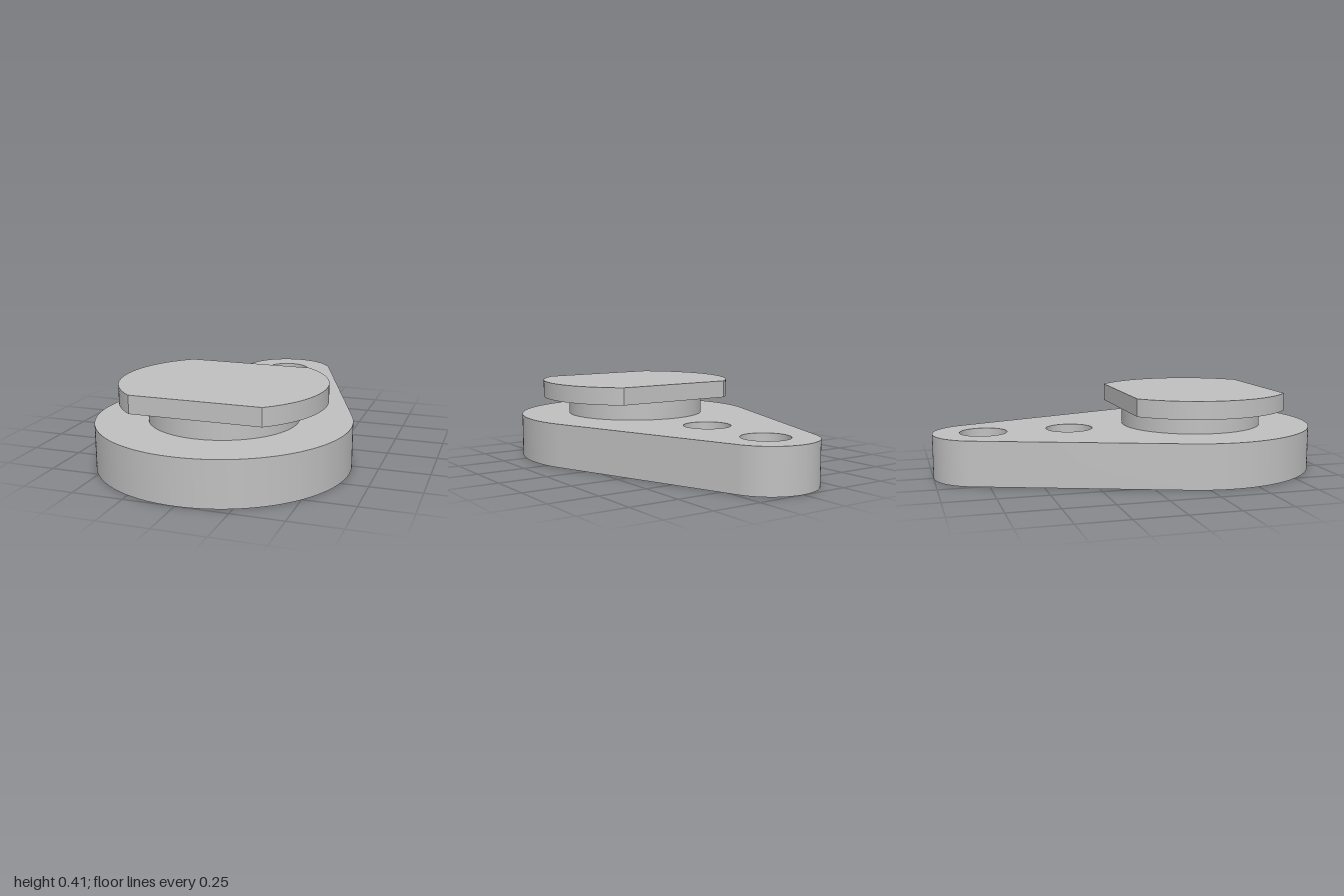
import * as THREE from 'three';
import { toCreasedNormals } from 'three/addons/utils/BufferGeometryUtils.js';

const BASE_H = 0.225, NECK_TOP = 0.32, HEAD_TOP = 0.41;
const BIG = { z: 0.37, r: 0.63 }, SMALL = { z: -0.75, r: 0.25 };
const HOLES = [-0.745, -0.3];
const BORE_R = 0.12, HOLE_R = 0.065, BORE_FLOOR = 0.1;

export function createModel() {
  const group = new THREE.Group();
  const grey = new THREE.MeshStandardMaterial({ color: 0xc0c0c0 });
  grey.name = 'grey';

  const add = (name, geometry, y = 0, z = 0) => {
    const mesh = new THREE.Mesh(toCreasedNormals(geometry, 0.5), grey);
    mesh.name = name;
    mesh.position.set(0, y, z);
    group.add(mesh);
  };
  // Extrude a plan shape (shape y = -z) upwards
  const plate = (shape, depth) =>
    new THREE.ExtrudeGeometry(shape, { depth, bevelEnabled: false, curveSegments: 64 }).rotateX(-Math.PI / 2);

  // Teardrop base: two arcs joined by their common tangents
  const a = Math.asin((BIG.r - SMALL.r) / (BIG.z - SMALL.z));
  const outline = new THREE.Shape();
  outline.absarc(0, -BIG.z, BIG.r, Math.PI - a, 2 * Math.PI + a, false);
  outline.absarc(0, -SMALL.z, SMALL.r, a, Math.PI - a, false);
  outline.closePath();
  for (const z of HOLES) {
    const bore = new THREE.Path();
    bore.absarc(0, -z, BORE_R, 0, Math.PI * 2, true);
    outline.holes.push(bore);
  }
  add('base', plate(outline, BASE_H));

  // Counterbore floors with the narrower through holes
  const washer = [[BORE_R, BORE_FLOOR], [HOLE_R, BORE_FLOOR], [HOLE_R, 0], [BORE_R, 0]]
    .map(([r, y]) => new THREE.Vector2(r, y));
  HOLES.forEach((z, i) => add('counterboreFloor' + (i + 1), new THREE.LatheGeometry(washer, 64), 0, z));

  // Round neck
  add('neck', new THREE.CylinderGeometry(0.37, 0.37, NECK_TOP - BASE_H, 96, 1, true),
    (BASE_H + NECK_TOP) / 2, BIG.z);

  // Head: disc with flats at the front and back
  const headR = 0.51, b = Math.asin(0.396 / headR);
  const head = new THREE.Shape();
  head.absarc(0, 0, headR, -b, b, false);
  head.absarc(0, 0, headR, Math.PI - b, Math.PI + b, false);
  head.closePath();
  add('head', plate(head, HEAD_TOP - NECK_TOP), NECK_TOP, BIG.z);

  return group;
}
